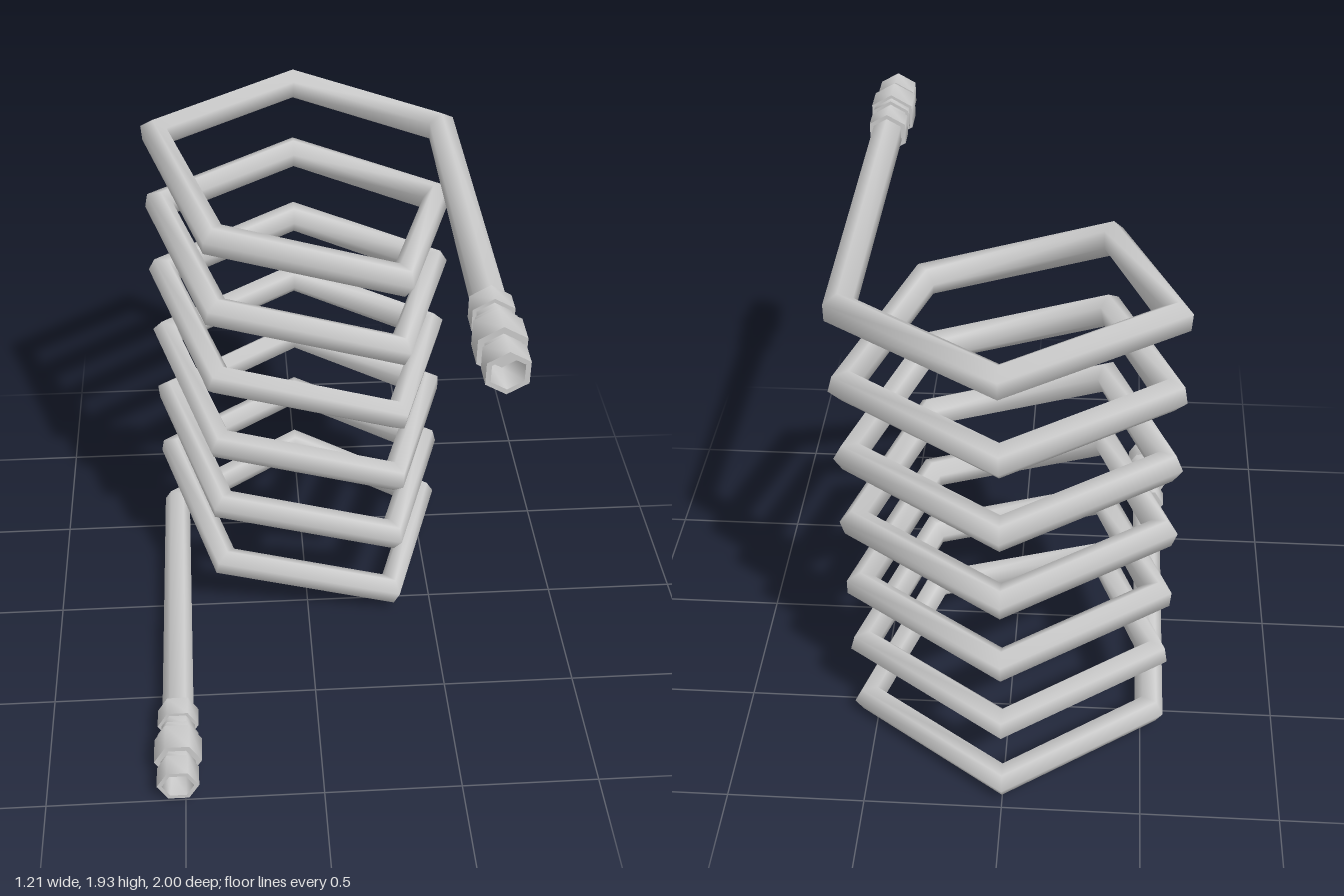
import * as THREE from 'three';
import { toCreasedNormals } from 'three/addons/utils/BufferGeometryUtils.js';

const SIDES = 6, RADIUS = 0.059, PITCH = 0.295, TURNS = 6;
const V = (x, y, z) => new THREE.Vector3(x, y, z);

// Centre line: lower leg, rising five-sided coil, upper leg
function coilPath() {
  const pts = [V(-0.525, 0.08, 0.8)];
  for (let i = 0; i <= TURNS; i++) {
    const y = i * PITCH;
    pts.push(V(-0.53, y + 0.083, -0.563), V(0, y + 0.09, -0.941), V(0.53, y + 0.076, -0.563));
    if (i < TURNS) pts.push(V(0.33, y + 0.102, 0.057), V(-0.33, y + 0.292, 0.057));
  }
  pts.push(V(0.525, 1.843, 0.8));
  return pts;
}

// One frame per bend, carried along the path with the least rotation
function pathFrames(pts) {
  const normal = V(1, 0, 0), q = new THREE.Quaternion();
  let last = null;
  return pts.map((p, i) => {
    const t = V(0, 0, 0);
    if (i > 0) t.add(p.clone().sub(pts[i - 1]).normalize());
    if (i < pts.length - 1) t.add(pts[i + 1].clone().sub(p).normalize());
    t.normalize();
    if (last) normal.applyQuaternion(q.setFromUnitVectors(last, t));
    normal.addScaledVector(t, -normal.dot(t)).normalize();
    last = t;
    return { p, t, n: normal.clone(), b: t.clone().cross(normal) };
  });
}

// Six-sided tube with one ring at each bend
function tubeGeometry(frames) {
  const pos = [], idx = [];
  frames.forEach(({ p, n, b }, i) => {
    for (let j = 0; j < SIDES; j++) {
      const a = (j / SIDES) * Math.PI * 2;
      const v = p.clone().addScaledVector(n, RADIUS * Math.cos(a)).addScaledVector(b, RADIUS * Math.sin(a));
      pos.push(v.x, v.y, v.z);
      if (i === 0) continue;
      const k = (j + 1) % SIDES, r0 = (i - 1) * SIDES, r1 = i * SIDES;
      idx.push(r0 + j, r0 + k, r1 + j, r0 + k, r1 + k, r1 + j);
    }
  });
  const g = new THREE.BufferGeometry();
  g.setAttribute('position', new THREE.Float32BufferAttribute(pos, 3));
  g.setIndex(idx);
  g.computeVertexNormals();
  return g;
}

// Stepped hexagonal end fitting with an open bore, outward along +y
function fittingGeometry() {
  const profile = [
    [0.05, 0.64], [0.076, 0.64], [0.076, 0.717], [0.062, 0.717], [0.062, 0.755],
    [0.075, 0.755], [0.075, 0.782], [0.087, 0.782], [0.087, 0.887], [0.064, 0.887],
    [0.064, 0.915], [0.076, 0.915], [0.076, 1], [0.058, 1], [0.05, 0.9], [0, 0.9],
  ].map(([r, y]) => new THREE.Vector2(r, y));
  return toCreasedNormals(new THREE.LatheGeometry(profile, SIDES), 1.1);
}

export function createModel() {
  const model = new THREE.Group();
  model.name = 'coiledPipe';
  const material = new THREE.MeshStandardMaterial({ color: 0xcccccc });

  const frames = pathFrames(coilPath());
  const coil = new THREE.Mesh(tubeGeometry(frames), material);
  coil.name = 'coilTube';
  model.add(coil);

  // Fittings follow the roll of the tube at each end
  const geometry = fittingGeometry(), forward = V(0, 0, 1);
  [['lowerFitting', frames[0]], ['upperFitting', frames[frames.length - 1]]].forEach(([name, f]) => {
    const up = f.n.clone().setZ(0).normalize();
    const fitting = new THREE.Mesh(geometry, material);
    fitting.name = name;
    fitting.quaternion.setFromRotationMatrix(
      new THREE.Matrix4().makeBasis(forward.clone().cross(up), forward, up));
    fitting.position.set(f.p.x, f.p.y, 0);
    model.add(fitting);
  });
  return model;
}
